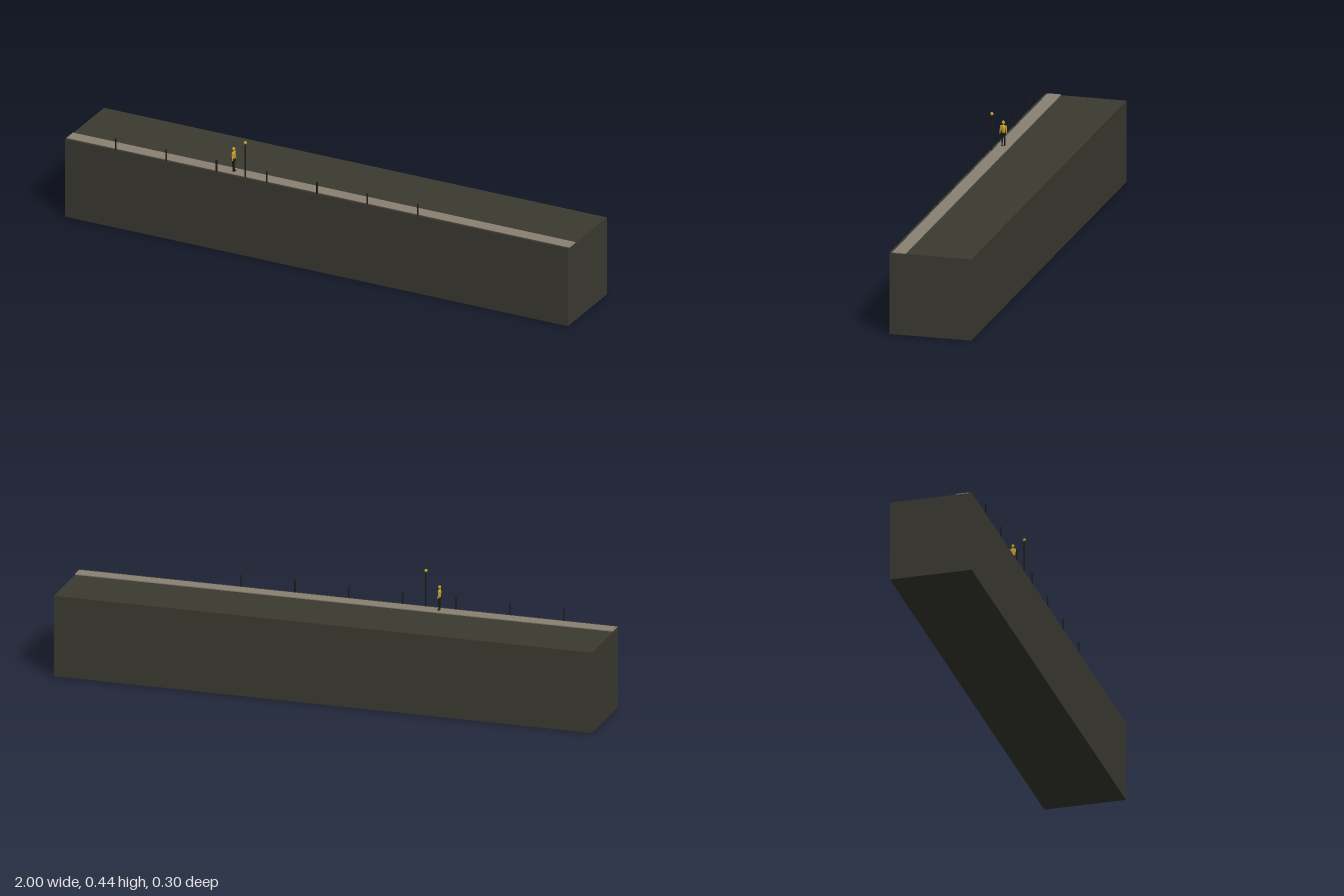
import * as THREE from 'three';

const material = (name, color) => {
  const m = new THREE.MeshStandardMaterial({ color });
  m.name = name;
  return m;
};

export function createModel() {
  const model = new THREE.Group();
  const stone = material('dark stone', 0x3b3a31);
  const paving = material('grey paving', 0x8a8172);
  const iron = material('black iron', 0x1c1c1a);
  const gold = material('gold', 0xc79f2c);

  const add = (parent, name, geometry, mat, x, y, z) => {
    const mesh = new THREE.Mesh(geometry, mat);
    mesh.name = name;
    mesh.position.set(x, y, z);
    parent.add(mesh);
    return mesh;
  };
  const ball = (r) => new THREE.SphereGeometry(r, 20, 14);

  // Embankment block with a footpath along its front edge
  add(model, 'embankment', new THREE.BoxGeometry(2, 0.3, 0.3), stone, 0, 0.15, 0);
  add(model, 'footpath', new THREE.BoxGeometry(2, 0.003, 0.05), paving, 0, 0.3015, 0.115);
  add(model, 'kerb', new THREE.BoxGeometry(2, 0.002, 0.008), stone, 0, 0.301, 0.145);

  // Row of bollards
  for (let i = 0; i < 7; i++) {
    add(model, 'bollard', new THREE.CylinderGeometry(0.0028, 0.0028, 0.046, 12), iron, -0.8 + i * 0.2, 0.323, 0.146);
  }

  // Lamp post
  const lamp = new THREE.Group();
  lamp.name = 'lampPost';
  lamp.position.set(-0.288, 0.3, 0.1415);
  add(lamp, 'pole', new THREE.CylinderGeometry(0.0026, 0.003, 0.134, 12), iron, 0, 0.067, 0);
  add(lamp, 'globe', ball(0.006), gold, 0, 0.136, 0);
  model.add(lamp);

  // Standing figure, facing along the path
  const figure = new THREE.Group();
  figure.name = 'figure';
  figure.position.set(-0.347, 0.303, 0.116);
  add(figure, 'head', ball(0.006), gold, 0, 0.086, 0).scale.set(1, 1.1, 1);
  add(figure, 'neck', new THREE.CylinderGeometry(0.0022, 0.0026, 0.006, 12), gold, 0, 0.078, 0);
  const torso = [[0, 0.044], [0.006, 0.045], [0.0075, 0.052], [0.0095, 0.062], [0.010, 0.07], [0.007, 0.075], [0, 0.077]];
  const chest = add(figure, 'torso', new THREE.LatheGeometry(torso.map(p => new THREE.Vector2(...p)), 20), gold, 0, 0, 0);
  chest.scale.x = 0.6;
  add(figure, 'hips', ball(0.007), iron, 0, 0.047, 0).scale.set(0.65, 0.6, 1.1);
  for (const s of [-1, 1]) {
    const arm = new THREE.Group();
    arm.name = 'arm';
    arm.position.set(0, 0.072, s * 0.0095);
    arm.rotation.x = -s * 0.13;
    add(arm, 'shoulder', ball(0.0032), gold, 0, 0, 0);
    add(arm, 'upperArm', new THREE.CapsuleGeometry(0.0025, 0.009, 4, 12), gold, 0, -0.007, 0);
    add(arm, 'forearm', new THREE.CapsuleGeometry(0.0021, 0.008, 4, 12), gold, 0.001, -0.018, 0);
    add(arm, 'hand', ball(0.0024), gold, 0.002, -0.025, 0);
    figure.add(arm);

    add(figure, 'thigh', new THREE.CylinderGeometry(0.004, 0.0031, 0.024, 14), iron, 0, 0.036, s * 0.0048);
    add(figure, 'knee', ball(0.0032), iron, 0, 0.024, s * 0.0048);
    add(figure, 'shin', new THREE.CylinderGeometry(0.0031, 0.002, 0.023, 14), iron, 0, 0.0125, s * 0.0048);
    add(figure, 'foot', ball(0.003), iron, 0.0025, 0.002, s * 0.0048).scale.set(1.8, 0.7, 1);
  }
  model.add(figure);

  return model;
}
